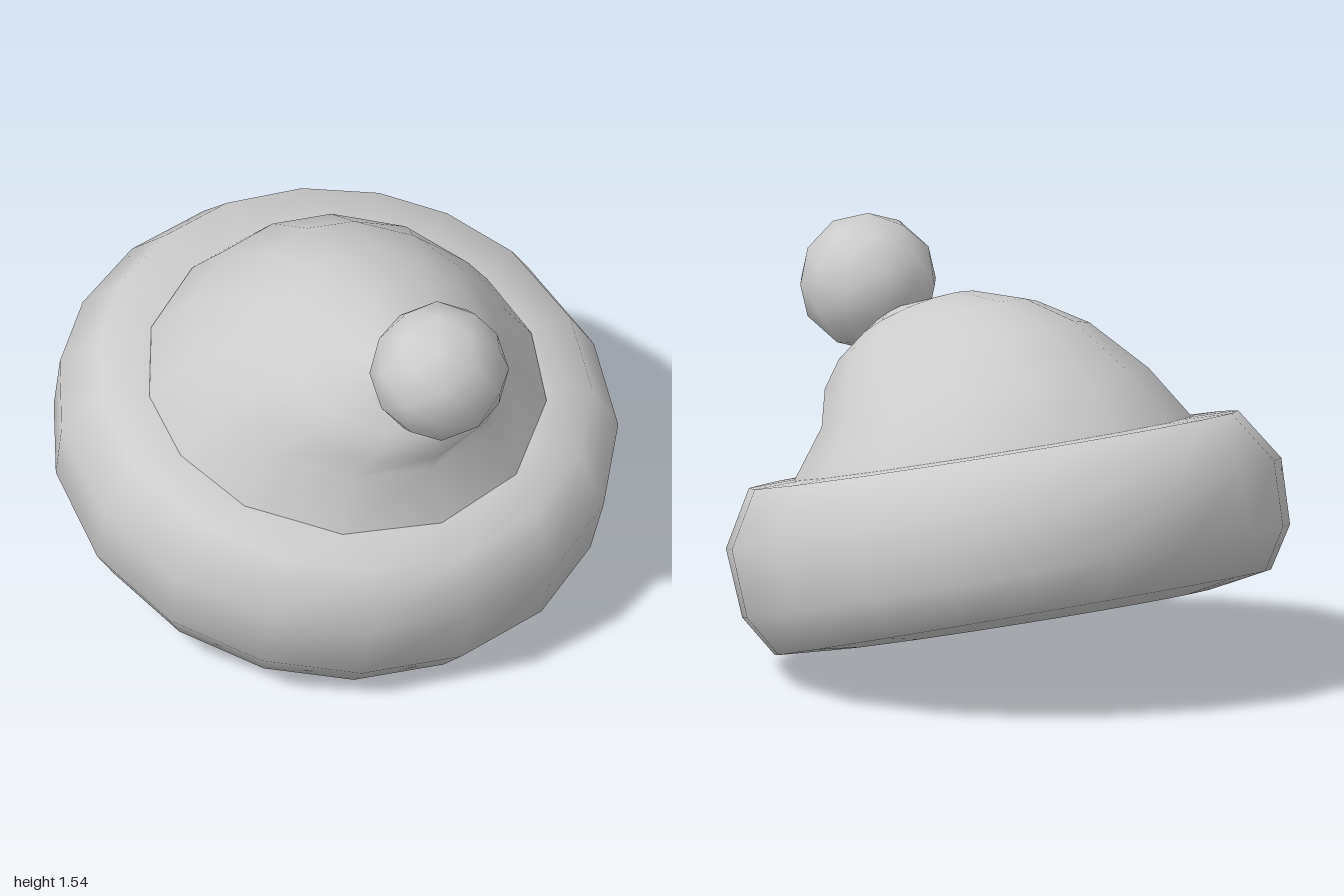
import * as THREE from 'three';

// Joins closed rings of points, listed from bottom to top, into a smooth skin
function loft(rings) {
  const n = rings[0].length;
  const index = [];
  for (let i = 0; i < rings.length - 1; i++) {
    for (let j = 0; j < n; j++) {
      const k = (j + 1) % n;
      const a = i * n + j, b = i * n + k, c = a + n, d = b + n;
      index.push(a, b, d, a, d, c);
    }
  }
  const geometry = new THREE.BufferGeometry().setFromPoints(rings.flat());
  geometry.setIndex(index);
  geometry.computeVertexNormals();
  return geometry;
}

// Mirrors angles from front (0) to back (180) round the other side, in radians
function mirrorAngles(half) {
  const other = half.slice(1, -1).reverse().map((a) => 360 - a);
  return [...half, ...other].map(THREE.MathUtils.degToRad);
}

export function createModel() {
  const hat = new THREE.Group();
  hat.name = 'bobbleHat';
  const wool = new THREE.MeshStandardMaterial({ color: 0xcccccc, side: THREE.DoubleSide });
  wool.name = 'greyWool';

  const add = (name, geometry, parent = hat) => {
    const mesh = new THREE.Mesh(geometry, wool);
    mesh.name = name;
    parent.add(mesh);
    return mesh;
  };

  // Brim and lining share one backward tilt
  const base = new THREE.Group();
  base.name = 'tiltedBase';
  base.rotation.x = THREE.MathUtils.degToRad(14);
  base.position.y = 0.5;
  hat.add(base);

  // Rings are [radius, height, shift]; the shift lowers and tightens the front edge
  const brimAngles = mirrorAngles([0, 22, 43, 64.5, 86, 109, 127, 143.5, 161.5, 180]);
  const round = (rings) => loft(rings.map(([r, y, s]) => brimAngles.map((a) => {
    const shift = s * Math.cos(a);
    return new THREE.Vector3((r - shift) * Math.sin(a), y - shift, (r - shift) * Math.cos(a));
  })));

  // Thick rolled brim
  add('brim', round([
    [0.7, -0.3, 0], [0.896, -0.279, 0.017], [0.988, -0.132, 0.016],
    [1.0, 0.111, 0.007], [0.88, 0.305, 0], [0.68, 0.31, 0],
  ]), base);

  // Shallow hollow underneath
  add('lining', round([[0, 0, 0], [0.4, -0.08, 0], [0.7, -0.3, 0]]), base);

  // Crown flopping forward: each ring is [back z, back y, front z, front y, half width]
  const crownAngles = mirrorAngles([0, 29.5, 59, 84, 107, 132.5, 158.5, 180]);
  const crownRings = [
    [-0.63, 0.94, 0.76, 0.59, 0.715],
    [-0.61, 0.98, 0.77, 0.63, 0.715],
    [-0.45, 1.14, 0.69, 0.815, 0.59],
    [-0.2, 1.29, 0.745, 0.91, 0.47],
    [0.03, 1.34, 0.715, 1.01, 0.36],
    [0.27, 1.335, 0.67, 1.07, 0.24],
    [0.53, 1.25, 0.66, 1.12, 0.1],
    [0.7, 1.26, 0.7, 1.26, 0],
  ];
  add('crown', loft(crownRings.map(([bz, by, fz, fy, w]) => crownAngles.map((a) => {
    const t = (1 + Math.cos(a)) / 2;
    return new THREE.Vector3(w * Math.sin(a), by + (fy - by) * t, bz + (fz - bz) * t);
  }))));

  // Pompom: faceted ball with its five-sided points facing front and back
  const ball = new THREE.IcosahedronGeometry(0.247, 1);
  ball.rotateX(Math.atan2(2, 1 + Math.sqrt(5)));
  ball.rotateZ(Math.PI / 2);
  add('pompom', ball).position.set(0, 1.295, 0.75);

  return hat;
}
